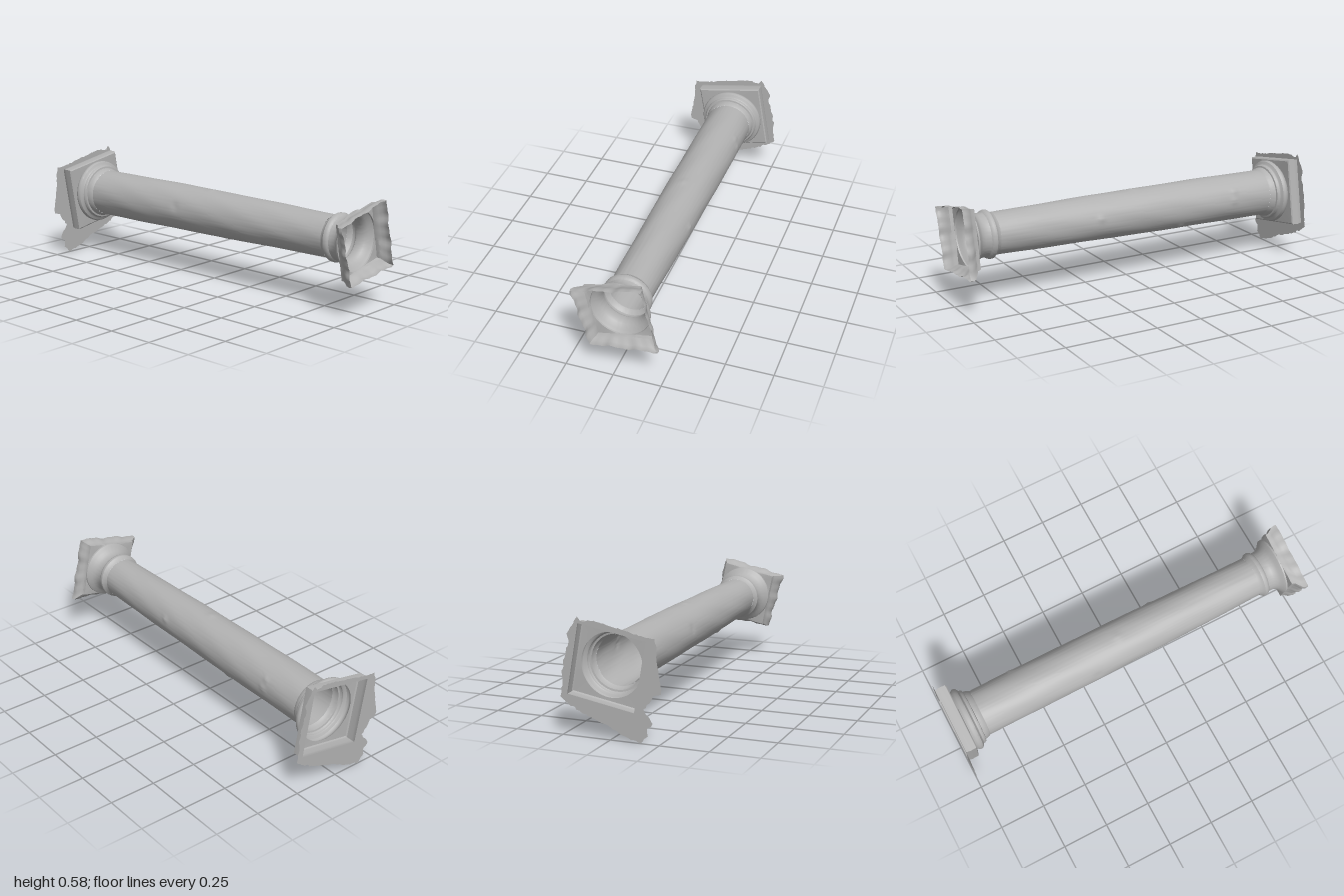
import * as THREE from 'three';
import { toCreasedNormals } from 'three/addons/utils/BufferGeometryUtils.js';

const SIDE = 24;            // points along each side of a ring
const N = SIDE * 4;
const START = THREE.MathUtils.degToRad(235); // first corner of the turned squares

const stone = new THREE.MeshStandardMaterial({ color: 0xb2b2b2, side: THREE.DoubleSide });
stone.name = 'grey stone';

// Small seeded random in -1..1
let seed = 7;
const rand = () => {
  seed = (seed * 16807) % 2147483647;
  return (seed / 2147483647) * 2 - 1;
};

// The axis sinks slightly toward the back
const axis = (z) => [0.018, 0.361 + 0.009 * z - 0.002 * z * z];

// Round ring at depth z; bump(angle, z) adds to the radius
function circle(z, r, bump = () => 0) {
  const [cx, cy] = axis(z);
  return Array.from({ length: N }, (_, i) => {
    const a = START + (i / N) * Math.PI * 2;
    const q = r + bump(a, z);
    return [cx + q * Math.cos(a), cy + q * Math.sin(a), z];
  });
}

// Four-sided ring: corners run bottom left, bottom right, top right, top left
function quad(z, corners, rough = 0) {
  return Array.from({ length: N }, (_, i) => {
    const k = Math.floor(i / SIDE), t = (i % SIDE) / SIDE;
    const a = corners[k], b = corners[(k + 1) % 4];
    const w = rough * (Math.sin(i * 0.62) + 0.6 * Math.sin(i * 1.37 + 1));
    const len = Math.hypot(b[0] - a[0], b[1] - a[1]);
    return [
      a[0] + (b[0] - a[0]) * t + (w * (b[1] - a[1])) / len,
      a[1] + (b[1] - a[1]) * t - (w * (b[0] - a[0])) / len,
      z,
    ];
  });
}

// Turned square around a centre
function square(cx, cy, half, degrees) {
  const r = half * Math.SQRT2;
  return [225, 315, 45, 135].map((d) => {
    const a = THREE.MathUtils.degToRad(d + degrees);
    return [cx + r * Math.cos(a), cy + r * Math.sin(a)];
  });
}

// Skin between rings, listed from front to back
function loft(name, rings, crease = 0.6) {
  const index = [];
  for (let i = 0; i < rings.length - 1; i++) {
    for (let j = 0; j < N; j++) {
      const a = i * N + j, b = i * N + ((j + 1) % N), c = a + N, d = b + N;
      index.push(a, c, b, b, c, d);
    }
  }
  const geo = new THREE.BufferGeometry();
  geo.setAttribute('position', new THREE.Float32BufferAttribute(rings.flat(2), 3));
  geo.setIndex(index);
  const mesh = new THREE.Mesh(toCreasedNormals(geo, crease), stone);
  mesh.name = name;
  return mesh;
}

// Worn spots on the shaft: angle, depth, height, size
const spots = [
  [0.2, 0.22, 0.006, 0.03], [-0.9, -0.28, 0.006, 0.035], [0.1, -0.6, 0.005, 0.03],
  [1.6, -0.03, 0.004, 0.04], [-2.2, 0.3, 0.005, 0.035], [0.5, -0.61, 0.005, 0.025],
  [2.9, -0.2, -0.004, 0.04], [-1.6, 0.1, 0.004, 0.05],
];
function wear(a, z) {
  let sum = 0.0007 * Math.sin(a * 3 + z * 9) + 0.0005 * Math.sin(a * 7 - z * 17);
  for (const [sa, sz, h, s] of spots) {
    const da = Math.atan2(Math.sin(a - sa), Math.cos(a - sa)) * 0.12;
    sum += h * Math.exp(-(da * da + (z - sz) ** 2) / (s * s * 0.3));
  }
  return sum;
}

export function createModel() {
  const model = new THREE.Group();
  model.name = 'fallenColumn';

  // Hollow tapering shaft
  const shaft = [];
  for (let i = 0; i <= 100; i++) {
    const t = i / 100;
    const z = 0.785 - t * 1.625;
    shaft.push(circle(z, 0.109 + 0.017 * Math.sin(Math.min(1, t * 1.15) * Math.PI / 2), wear));
  }
  model.add(loft('shaft', shaft));

  // Neck ring and flaring moulding under the capital
  const neck = [
    [0.926, 0.156], [0.918, 0.155], [0.908, 0.143], [0.9, 0.132], [0.888, 0.121],
    [0.87, 0.114], [0.85, 0.113], [0.838, 0.115], [0.832, 0.122], [0.822, 0.126],
    [0.81, 0.125], [0.803, 0.119], [0.795, 0.113], [0.785, 0.109],
  ];
  model.add(loft('capitalNeck', neck.map(([z, r]) => circle(z, r))));

  // Square capital, open at the front with an uneven rim
  const panel = [[-0.1, 0.19], [0.19, 0.25], [0.132, 0.545], [-0.158, 0.482]];
  const lip = [[-0.118, 0.172], [0.232, 0.212], [0.152, 0.567], [-0.207, 0.482]];
  const mix = (t) => panel.map((p, i) => p.map((v, k) => v + (lip[i][k] - v) * t));
  model.add(loft('capital', [
    quad(1, mix(0.96), 0.004),
    quad(0.985, mix(1), 0.004),
    quad(0.97, mix(0.85), 0.003),
    quad(0.955, mix(0.4), 0.002),
    quad(0.945, mix(0.1), 0.001),
    quad(0.928, panel),
    circle(0.926, 0.156),
  ]));

  // Stacked round mouldings of the base
  const foot = [
    [-0.84, 0.126], [-0.848, 0.131], [-0.86, 0.135], [-0.872, 0.137], [-0.874, 0.146],
    [-0.882, 0.151], [-0.89, 0.151], [-0.894, 0.157], [-0.9, 0.168], [-0.91, 0.173],
    [-0.92, 0.172], [-0.93, 0.165], [-0.936, 0.16],
  ];
  model.add(loft('baseMouldings', foot.map(([z, r]) => circle(z, r))));

  // Square plinth, open at the back
  const plinth = (half) => square(0.02, 0.35, half, 10);
  model.add(loft('plinth', [
    circle(-0.936, 0.16),
    quad(-0.937, plinth(0.174)),
    quad(-0.942, plinth(0.18)),
    quad(-0.975, plinth(0.181)),
    quad(-0.99, plinth(0.179)),
    quad(-0.999, plinth(0.176)),
  ]));

  // Thin ragged sheet of floor around the plinth
  const edge = [
    [-0.23, 0.512], [-0.19, 0.512], [0.08, 0.572], [0.15, 0.565], [0.165, 0.585], [0.185, 0.55],
    [0.22, 0.5], [0.212, 0.47], [0.235, 0.38], [0.25, 0.32], [0.246, 0.28], [0.26, 0.19],
    [0.23, 0.165], [0.15, 0.122], [0, 0.066], [-0.06, 0.033], [-0.12, 0.016], [-0.155, 0.003],
    [-0.193, 0.04], [-0.19, 0.08], [-0.217, 0.105], [-0.17, 0.17], [-0.2, 0.2], [-0.22, 0.237],
    [-0.26, 0.25], [-0.258, 0.3], [-0.24, 0.4], [-0.24, 0.46],
  ];
  const ragged = [];
  edge.forEach((a, i) => {
    const b = edge[(i + 1) % edge.length];
    const steps = Math.max(1, Math.round(Math.hypot(b[0] - a[0], b[1] - a[1]) / 0.013));
    for (let s = 0; s < steps; s++) {
      const t = s / steps, n = s ? 0.004 : 0;
      ragged.push(new THREE.Vector2(
        a[0] + (b[0] - a[0]) * t + n * rand(), a[1] + (b[1] - a[1]) * t + n * rand()));
    }
  });
  const sheet = new THREE.Shape(ragged);
  sheet.holes.push(new THREE.Path(plinth(0.176).map(([x, y]) => new THREE.Vector2(x, y))));
  const floor = new THREE.Mesh(new THREE.ShapeGeometry(sheet), stone);
  floor.name = 'floorSheet';
  floor.position.z = -0.999;
  model.add(floor);

  return model;
}
